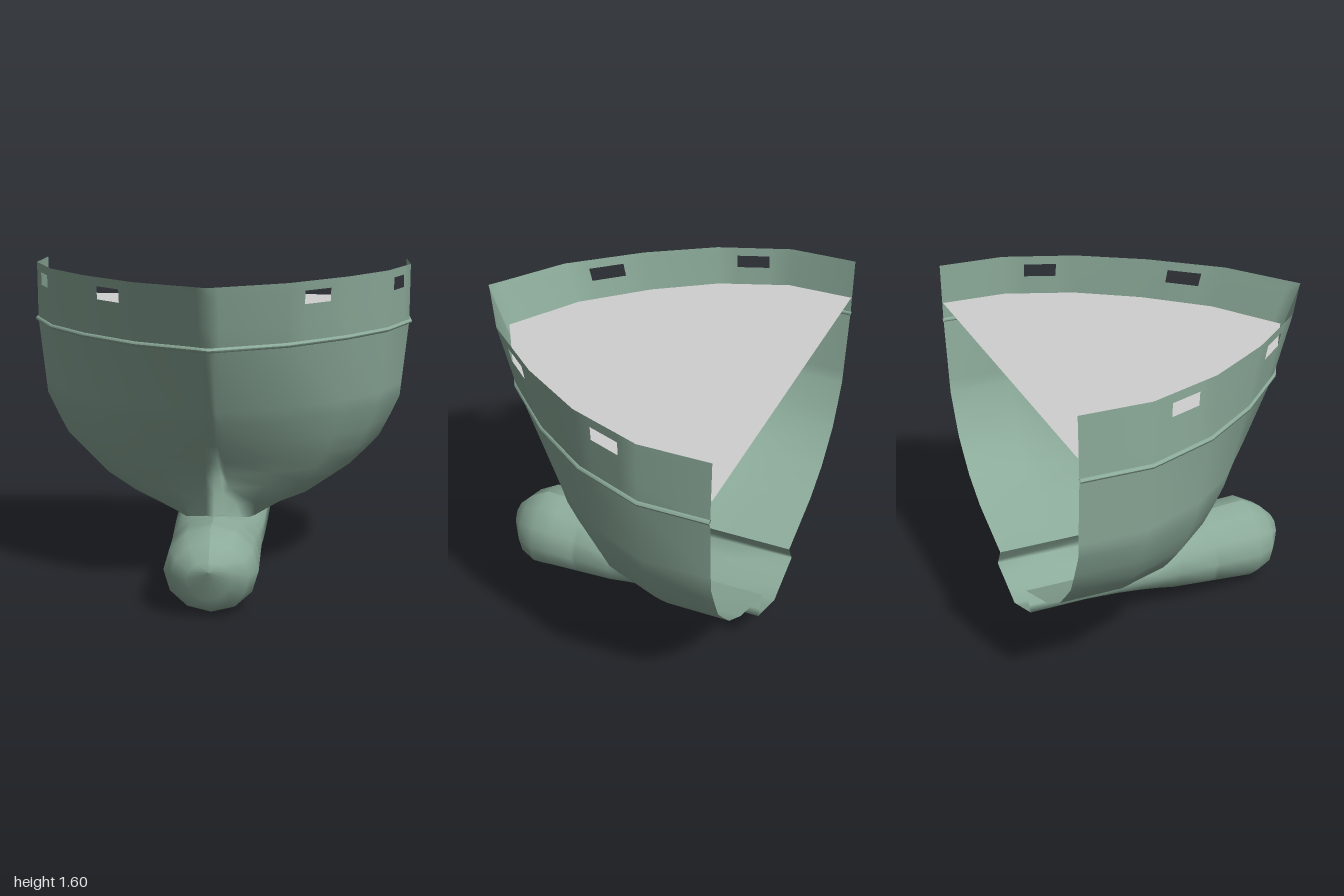
import * as THREE from 'three';

const BACK = -0.79, RIM_STEM = 0.79;
// Half-breadth fraction along the hull, from the open back (0) to the stem (1)
const PLAN = [[0, 1], [0.215, 1], [0.443, 0.863], [0.646, 0.65], [0.848, 0.365], [0.978, 0.05], [1, 0]];

function breadth(t) {
  let i = 1;
  while (i < PLAN.length - 1 && t > PLAN[i][0]) i++;
  const [t0, f0] = PLAN[i - 1], [t1, f1] = PLAN[i];
  return f0 + (f1 - f0) * (t - t0) / (t1 - t0);
}

// One side of a waterline, back to stem; the rake grows towards the stem
const waterline = (y, width, stem, ts) =>
  ts.map(t => [width * breadth(t), y, BACK + (RIM_STEM - BACK) * t - (RIM_STEM - stem) * t * t]);

// Adds the mirrored side; the last point lies on the centre line
const mirror = half => [...half, ...half.slice(0, -1).reverse().map(([x, y, z]) => [-x, y, z])];

// Surface through rows of points; skip(row, column) leaves an opening
function grid(rows, skip = () => false) {
  const n = rows[0].length, index = [];
  for (let r = 0; r < rows.length - 1; r++) {
    for (let c = 0; c < n - 1; c++) {
      if (skip(r, c)) continue;
      const a = r * n + c, b = a + n;
      index.push(a, b, a + 1, a + 1, b, b + 1);
    }
  }
  const g = new THREE.BufferGeometry();
  g.setAttribute('position', new THREE.Float32BufferAttribute(rows.flat(2), 3));
  g.setIndex(index);
  g.computeVertexNormals();
  return g;
}

export function createModel() {
  const hullPaint = new THREE.MeshStandardMaterial({ color: 0x8cab9a, side: THREE.DoubleSide });
  hullPaint.name = 'hullGreen';
  const deckPaint = new THREE.MeshStandardMaterial({ color: 0xcfcfcf, side: THREE.DoubleSide });
  deckPaint.name = 'deckGrey';

  const group = new THREE.Group();
  const add = (name, geometry, material) => {
    const mesh = new THREE.Mesh(geometry, material);
    mesh.name = name;
    group.add(mesh);
  };

  // Seam where the hull bottom meets the keel body and bulb
  const seam = [
    [0.2, 0.305, -0.79], [0.2, 0.305, -0.5], [0.2, 0.305, -0.3], [0.19, 0.31, -0.17],
    [0.16, 0.33, -0.04], [0.12, 0.355, 0.05], [0.04, 0.41, 0.24], [0, 0.41, 0.265],
  ];

  // Hull side: y, half width, stem z, then skeg front z and skeg root half width
  const hullTs = [0, 0.215, 0.443, 0.646, 0.848, 0.978, 0.99, 1];
  const hullRows = [
    [1.3, 0.985, 0.66], [0.97, 0.952, 0.46], [0.9, 0.945, 0.41], [0.78, 0.89, 0.32],
    [0.68, 0.84, 0.235], [0.6, 0.765, 0.17, 0.228, 0.05],
    [0.52, 0.685, 0.11, 0.22, 0.065], [0.42, 0.52, 0.04, 0.255, 0.1],
  ].map(([y, w, stem, skegZ, root]) => {
    const row = waterline(y, w, stem, hullTs);
    if (skegZ) {
      row[5][0] = root;
      row[6] = [0.04, y, skegZ - 0.01];
      row[7] = [0, y, skegZ];
    }
    return mirror(row);
  });
  add('hull', grid([...hullRows, mirror(seam)]), hullPaint);

  // Bulwark with two openings on each side
  const wallTs = [0, 0.215, 0.283, 0.383, 0.443, 0.646, 0.704, 0.792, 0.848, 0.978, 1];
  const wallRows = [1.6, 1.555, 1.49, 1.4, 1.3].map(y =>
    mirror(waterline(y, 0.985, 0.66 + (y - 1.3) * 0.433, wallTs)));
  const openings = [2, 6, 13, 17];
  add('bulwark', grid(wallRows, (r, c) => r === 1 && openings.includes(c)), hullPaint);

  // Rubbing rail around the hull
  const planTs = PLAN.map(p => p[0]);
  const railRows = [];
  for (let i = 0; i <= 8; i++) {
    const a = i / 8 * Math.PI * 2, out = 0.012 * Math.cos(a);
    railRows.push(mirror(waterline(1.3 + 0.012 * Math.sin(a), 0.988 + out, 0.663 + out, planTs)));
  }
  add('rubbingRail', grid(railRows), hullPaint);

  // Keel body and bulb: rounded half sections from upper edge to keel
  const section = (z, ex, ey, cx, cy, keel, round, tilt = 0) => {
    const half = [];
    const point = (x, y) => half.push([x, y, z + tilt * (y - 0.2)]);
    const arc = (s, fn) => round * fn(s * Math.PI / 2) + (1 - round) * (fn === Math.cos ? 1 - s : s);
    for (let i = 3; i >= 0; i--) {
      point(ex + (cx - ex) * arc(i / 3, Math.cos), cy + (ey - cy) * arc(i / 3, Math.sin));
    }
    for (let i = 1; i <= 3; i++) {
      point(cx * (i === 3 ? 0 : arc(i / 3, Math.cos)), cy + (keel - cy) * arc(i / 3, Math.sin));
    }
    return mirror(half);
  };
  const chineX = [0.255, 0.25, 0.245, 0.24, 0.235, 0.23, 0.23, 0.23];
  const bodyRows = seam.map(([x, y, z], i) =>
    section(z, x, y, chineX[i], 0.21, 0.045 - 0.09 * z, Math.min(1, i / 5)));
  bodyRows.push(
    section(0.4, 0, 0.42, 0.23, 0.21, 0.009, 1),
    section(0.5, 0, 0.425, 0.23, 0.21, 0, 1),
    section(0.59, 0, 0.37, 0.19, 0.21, 0.035, 1, 0.05),
    section(0.642, 0, 0.3, 0.11, 0.21, 0.1, 1, 0.28),
    section(0.66, 0, 0.25, 0, 0.25, 0.25, 1, 0.28),
  );
  add('keelAndBulb', grid(bodyRows), hullPaint);

  // Deck
  const deckLine = mirror(waterline(1.4, 0.97, 0.685, planTs));
  const deck = new THREE.ShapeGeometry(new THREE.Shape(deckLine.map(([x, , z]) => new THREE.Vector2(x, -z))));
  deck.rotateX(-Math.PI / 2).translate(0, 1.4, 0);
  add('deck', deck, deckPaint);

  return group;
}
